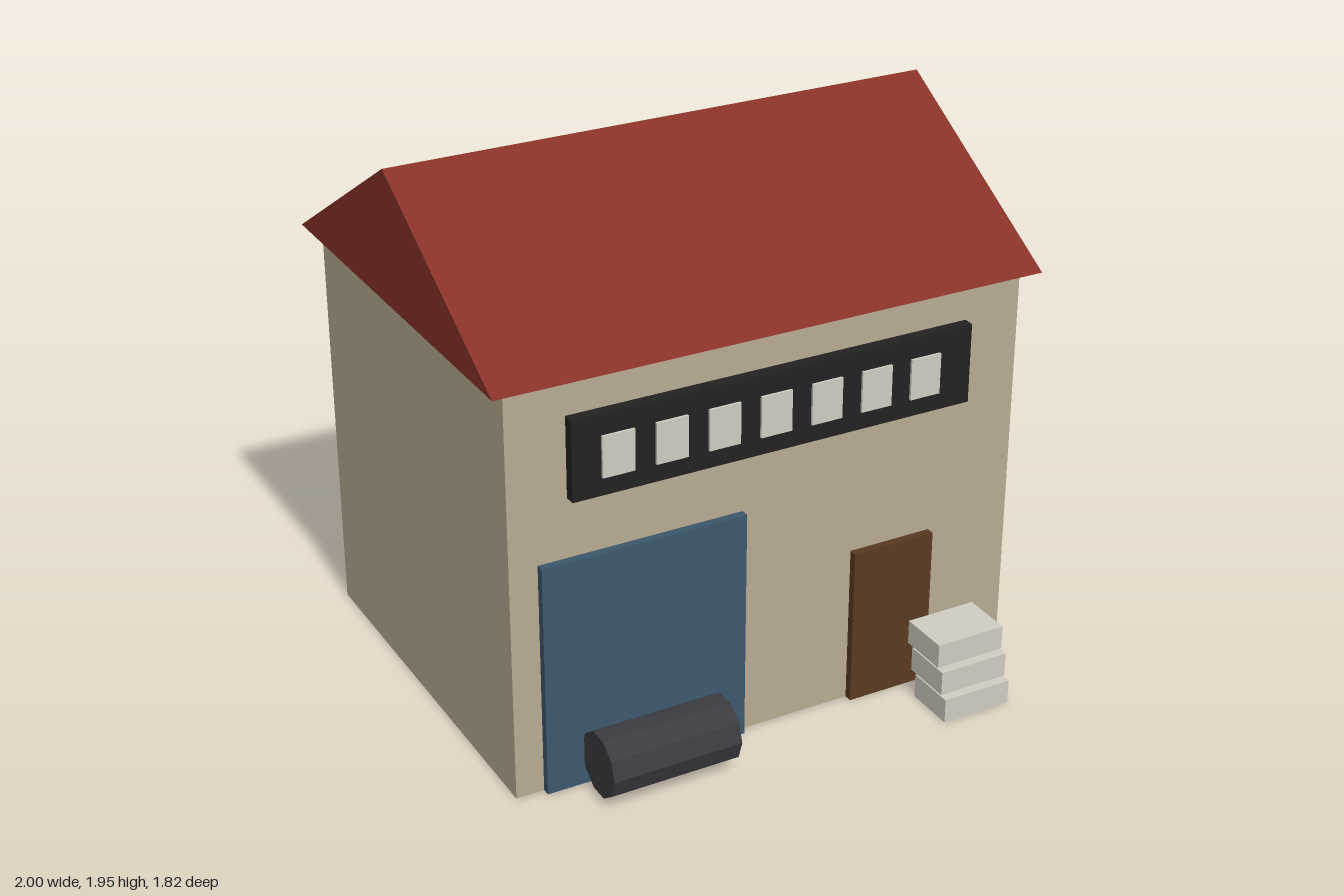
import * as THREE from 'three';

const material = (name, color) => {
  const m = new THREE.MeshStandardMaterial({ color });
  m.name = name;
  return m;
};

export function createModel() {
  const plaster = material('plaster', 0xb8aa92);
  const roofRed = material('roofRed', 0x873228);
  const black = material('black', 0x222222);
  const pale = material('pale', 0xcfccc1);
  const blue = material('blue', 0x3c586c);
  const brown = material('brown', 0x593a21);
  const charcoal = material('charcoal', 0x3b3b40);

  const model = new THREE.Group();
  model.name = 'warehouse';

  const add = (name, geometry, mat) => {
    const mesh = new THREE.Mesh(geometry, mat);
    mesh.name = name;
    model.add(mesh);
    return mesh;
  };
  // Box given by its minimum and maximum corners
  const box = (name, mat, x0, x1, y0, y1, z0, z1) =>
    add(name, new THREE.BoxGeometry(x1 - x0, y1 - y0, z1 - z0), mat)
      .position.set((x0 + x1) / 2, (y0 + y1) / 2, (z0 + z1) / 2);

  const wallFront = 0.611;
  box('walls', plaster, -0.945, 0.945, 0, 1.476, -0.861, wallFront);

  // Gable roof: triangle extruded along x (shape x becomes -z)
  const gable = new THREE.Shape([
    new THREE.Vector2(-0.66, 1.476),
    new THREE.Vector2(0.91, 1.476),
    new THREE.Vector2(0.125, 1.946),
  ]);
  const roof = new THREE.ExtrudeGeometry(gable, { depth: 2, bevelEnabled: false });
  roof.translate(0, 0, -1).rotateY(Math.PI / 2);
  add('roof', roof, roofRed);

  // Window band with seven panes
  box('windowBand', black, -0.738, 0.735, 1.058, 1.343, wallFront, 0.65);
  for (let i = 0; i < 7; i++) {
    const x = -0.579 + i * 0.189;
    box('windowPane', pale, x - 0.057, x + 0.057, 1.122, 1.268, 0.65, 0.659);
  }

  // Doors
  box('garageDoor', blue, -0.845, -0.107, 0, 0.845, wallFront, 0.64);
  box('entranceDoor', brown, 0.315, 0.627, 0, 0.58, wallFront, 0.64);

  // Ten-sided barrel lying on its side
  const drum = new THREE.CylinderGeometry(0.115, 0.115, 0.47, 10).toNonIndexed();
  drum.rotateZ(Math.PI / 2);
  drum.computeVertexNormals();
  add('barrel', drum, charcoal).position.set(-0.475, 0.132, 0.74);

  // Stepped stack of crates
  for (let i = 0; i < 3; i++) {
    const y = i * 0.094, z = 0.91 - i * 0.027;
    box('crate', pale, 0.525, 0.786, y, y + 0.088, z - 0.185, z);
  }

  return model;
}
